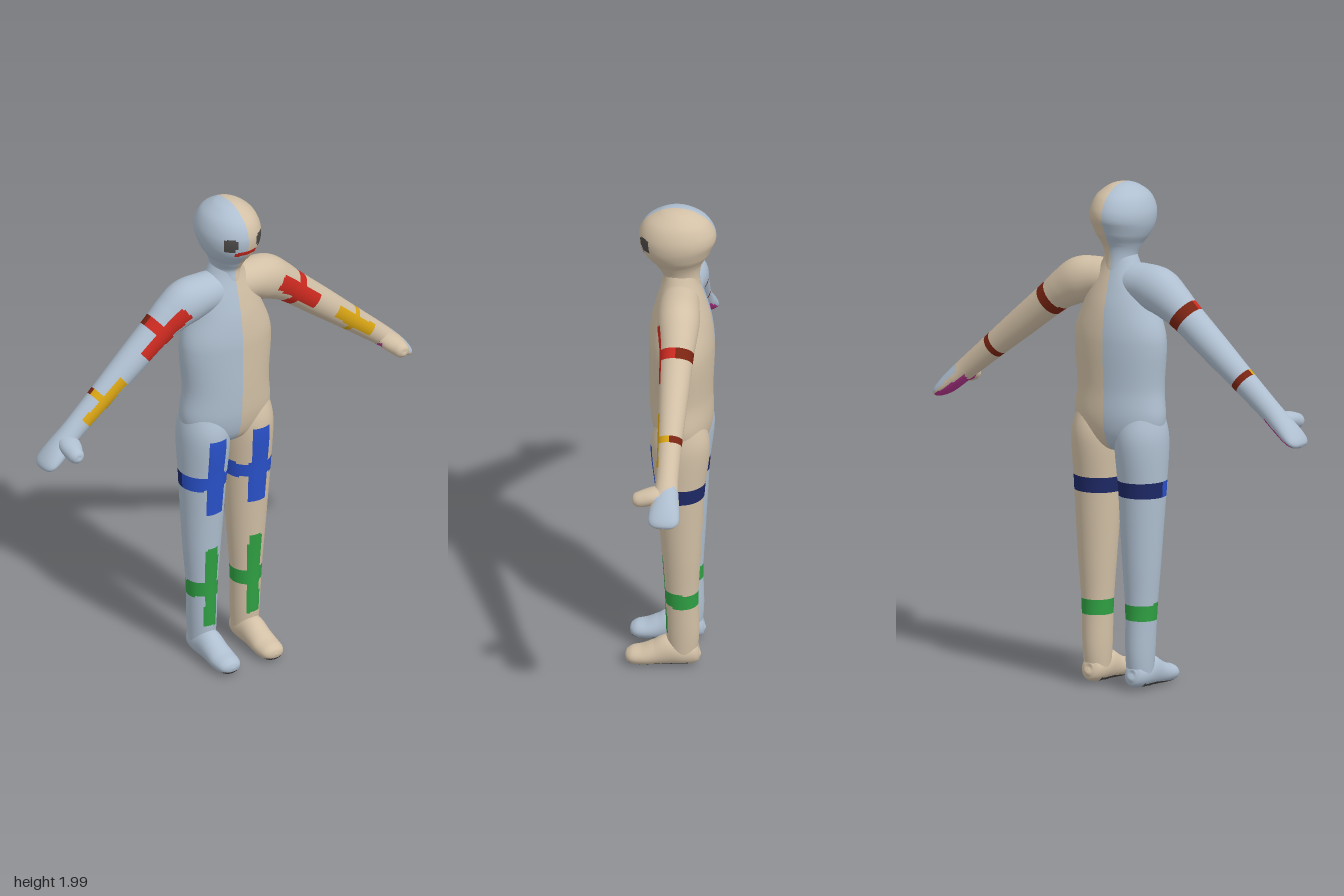
import * as THREE from 'three';

const colours = {
  beige: 0xd2c0a6, greyBlue: 0xafbfd0, red: 0xcc2a20, darkRed: 0x7a2412, yellow: 0xd9a514,
  blue: 0x2a52cc, navy: 0x1e2966, green: 0x2fa043, darkGrey: 0x4c4a48, magenta: 0xb5358c,
};
const names = Object.keys(colours);

// Smooth loft. Each section: [x, y, z, radius along side, radius across].
// paint(point, normal) returns a colour name; mirror = -1 flips the part to the other side.
function loft(name, materials, sections, side, rowsPer, paint, mirror = 1, ring = 48) {
  const spline = (list) => new THREE.CatmullRomCurve3(list, false, 'catmullrom', 0.5);
  const path = spline(sections.map((s) => new THREE.Vector3(s[0], s[1], s[2])));
  const size = spline(sections.map((s) => new THREE.Vector3(s[3], s[4], 0)));
  const rows = (sections.length - 1) * rowsPer;
  const points = [];
  for (let i = 0; i <= rows; i++) {
    const t = i / rows;
    const c = path.getPoint(t), r = size.getPoint(t), T = path.getTangent(t);
    const U = new THREE.Vector3().crossVectors(T, side).normalize();
    const S = new THREE.Vector3().crossVectors(U, T);
    for (let k = 0; k < ring; k++) {
      const a = (k / ring) * Math.PI * 2;
      points.push(c.clone()
        .addScaledVector(S, Math.max(r.x, 0) * Math.cos(a))
        .addScaledVector(U, Math.max(r.y, 0) * Math.sin(a)));
    }
  }
  // Sort the quads by colour
  const buckets = names.map(() => []);
  const n = new THREE.Vector3(), e = new THREE.Vector3(), mid = new THREE.Vector3();
  for (let i = 0; i < rows; i++) {
    for (let k = 0; k < ring; k++) {
      const a = i * ring + k, b = i * ring + (k + 1) % ring, c = a + ring, d = b + ring;
      mid.copy(points[a]).add(points[b]).add(points[c]).add(points[d]).multiplyScalar(0.25);
      n.subVectors(points[d], points[a]);
      n.cross(e.subVectors(points[c], points[b])).normalize();
      const bucket = buckets[names.indexOf(paint(mid, n))];
      if (mirror > 0) bucket.push(a, b, c, b, d, c);
      else bucket.push(a, c, b, b, c, d);
    }
  }
  const geometry = new THREE.BufferGeometry();
  geometry.setAttribute('position', new THREE.Float32BufferAttribute(
    points.flatMap((p) => [p.x * mirror, p.y, p.z]), 3));
  geometry.setIndex(buckets.flat());
  let start = 0;
  buckets.forEach((b, m) => {
    if (b.length) geometry.addGroup(start, b.length, m);
    start += b.length;
  });
  geometry.computeVertexNormals();
  const mesh = new THREE.Mesh(geometry, materials);
  mesh.name = name;
  return mesh;
}

export function createModel() {
  const model = new THREE.Group();
  model.name = 'figure';
  const materials = names.map((name) => {
    const m = new THREE.MeshStandardMaterial({ color: colours[name] });
    m.name = name;
    return m;
  });
  const X = new THREE.Vector3(1, 0, 0), Z = new THREE.Vector3(0, 0, 1);
  const halves = (p) => (p.x > 0 ? 'beige' : 'greyBlue');

  // Torso
  model.add(loft('torso', materials, [
    [0, 0.94, -0.04, 0, 0], [0, 0.955, -0.04, 0.1, 0.06], [0, 1.0, -0.04, 0.17, 0.1],
    [0, 1.08, -0.04, 0.196, 0.12], [0, 1.2, -0.035, 0.186, 0.123], [0, 1.35, -0.037, 0.197, 0.127],
    [0, 1.43, -0.037, 0.19, 0.126], [0, 1.52, -0.036, 0.155, 0.115], [0, 1.6, -0.035, 0.125, 0.095],
    [0, 1.68, -0.035, 0.08, 0.072], [0, 1.73, -0.035, 0.055, 0.066],
  ], X, 8, halves));

  // Head and neck, with painted eyes and mouth
  model.add(loft('head', materials, [
    [0, 1.66, -0.035, 0.062, 0.076], [0, 1.715, -0.035, 0.059, 0.073], [0, 1.76, -0.03, 0.075, 0.092],
    [0, 1.8, -0.026, 0.101, 0.121], [0, 1.85, -0.021, 0.119, 0.146], [0, 1.9, -0.02, 0.119, 0.148],
    [0, 1.95, -0.02, 0.098, 0.122], [0, 1.985, -0.02, 0.058, 0.071], [0, 1.997, -0.02, 0.027, 0.033],
    [0, 2.0, -0.02, 0, 0],
  ], X, 14, (p) => {
    const x = Math.abs(p.x);
    if (p.z > 0) {
      const dx = Math.abs(x - 0.066), dy = Math.abs(p.y - 1.866);
      if (dx < 0.02 && dy < 0.029 && dx + dy < 0.042) return 'darkGrey';
      if (x < 0.047 && p.y > 1.816 && p.y < (x < 0.036 ? 1.838 : 1.83)) return 'red';
    }
    return halves(p);
  }, 1, 72));

  for (const s of [1, -1]) {
    const label = s > 0 ? 'left' : 'right';
    const skin = s > 0 ? 'beige' : 'greyBlue';

    // Leg with thigh and shin crosses
    model.add(loft(label + 'Leg', materials, [
      [0.1, 1.12, -0.04, 0.08, 0.085], [0.1, 1.0, -0.04, 0.102, 0.115], [0.103, 0.81, -0.04, 0.094, 0.097],
      [0.103, 0.65, -0.043, 0.085, 0.085], [0.103, 0.5, -0.045, 0.075, 0.075],
      [0.102, 0.33, -0.046, 0.062, 0.065], [0.1, 0.16, -0.05, 0.056, 0.064], [0.1, 0.06, -0.05, 0.05, 0.055],
    ], X, 20, (p, n) => {
      if (Math.abs(p.y - 0.81) < 0.031) return p.z > -0.04 ? 'blue' : 'navy';
      if (Math.abs(p.y - 0.32) < 0.031) return 'green';
      if (n.z > 0.1) {
        if (Math.abs(p.y - 0.83) < 0.168 && Math.abs(p.x - 0.1) < 0.04) return 'blue';
        if (Math.abs(p.y - 0.33) < 0.174 && Math.abs(p.x - 0.099) < 0.028) return 'green';
      }
      return skin;
    }, s));

    // Foot with dark sole
    model.add(loft(label + 'Foot', materials, [
      [0.1, 0.07, -0.116, 0, 0], [0.1, 0.069, -0.112, 0.024, 0.028], [0.1, 0.068, -0.095, 0.042, 0.046],
      [0.1, 0.07, -0.05, 0.052, 0.054], [0.1, 0.074, 0, 0.052, 0.062], [0.1, 0.06, 0.05, 0.052, 0.05],
      [0.1, 0.047, 0.1, 0.054, 0.039], [0.1, 0.042, 0.145, 0.048, 0.033], [0.1, 0.042, 0.167, 0.03, 0.02],
      [0.1, 0.042, 0.175, 0, 0],
    ], X, 8, (p, n) => (
      n.y < -0.45 && p.z > -0.075 && p.y < 0.04 && Math.abs(p.x - 0.1) < 0.037 ? 'darkGrey' : skin), s));

    // Hand colours: palm below, and a patch on the back of the left hand
    const hand = (p, n) => {
      const down = -0.644 * n.x - 0.765 * n.y;
      if (p.x > 0.7 && down > 0.55 && p.z < 0.005) return 'magenta';
      if (s > 0 && down < -0.1 && p.z < 0.02 && p.x > 0.75 + 0.6 * (p.z + 0.07)) return 'greyBlue';
      return skin;
    };
    // Cross round the arm; returns undefined away from it
    const cross = (p, n, cx, cy, length, width, band, colour) => {
      const t = (p.x - cx) * 0.765 - (p.y - cy) * 0.644;
      const w = (p.x - cx) * 0.644 + (p.y - cy) * 0.765;
      if (Math.abs(t) < band) return p.z > -0.043 ? colour : 'darkRed';
      if (n.z > 0.1 && Math.abs(t) < length && Math.abs(w) < width) return colour;
      return undefined;
    };

    // Shoulder, arm and hand
    model.add(loft(label + 'Arm', materials, [
      [0, 1.61, -0.035, 0.07, 0.077], [0.1, 1.612, -0.035, 0.08, 0.08], [0.18, 1.595, -0.04, 0.083, 0.09],
      [0.25, 1.555, -0.044, 0.074, 0.078], [0.31, 1.51, -0.045, 0.066, 0.067],
      [0.45, 1.395, -0.045, 0.057, 0.059], [0.58, 1.288, -0.045, 0.048, 0.05],
      [0.7, 1.188, -0.045, 0.044, 0.043], [0.76, 1.137, -0.045, 0.052, 0.039],
      [0.8, 1.102, -0.043, 0.06, 0.034], [0.83, 1.077, -0.043, 0.058, 0.025],
      [0.846, 1.064, -0.043, 0.038, 0.014], [0.851, 1.06, -0.043, 0, 0],
    ], Z, 12, (p, n) => cross(p, n, 0.31, 1.51, 0.12, 0.031, 0.021, 'red')
      || cross(p, n, 0.582, 1.288, 0.106, 0.025, 0.016, 'yellow') || hand(p, n), s));

    // Thumb
    model.add(loft(label + 'Thumb', materials, [
      [0.735, 1.158, -0.045, 0.04, 0.028], [0.747, 1.148, 0.005, 0.044, 0.032],
      [0.755, 1.137, 0.045, 0.036, 0.032], [0.756, 1.132, 0.07, 0.029, 0.027],
      [0.756, 1.13, 0.081, 0.017, 0.016], [0.756, 1.13, 0.085, 0, 0],
    ], X, 6, hand, s, 32));
  }
  return model;
}
